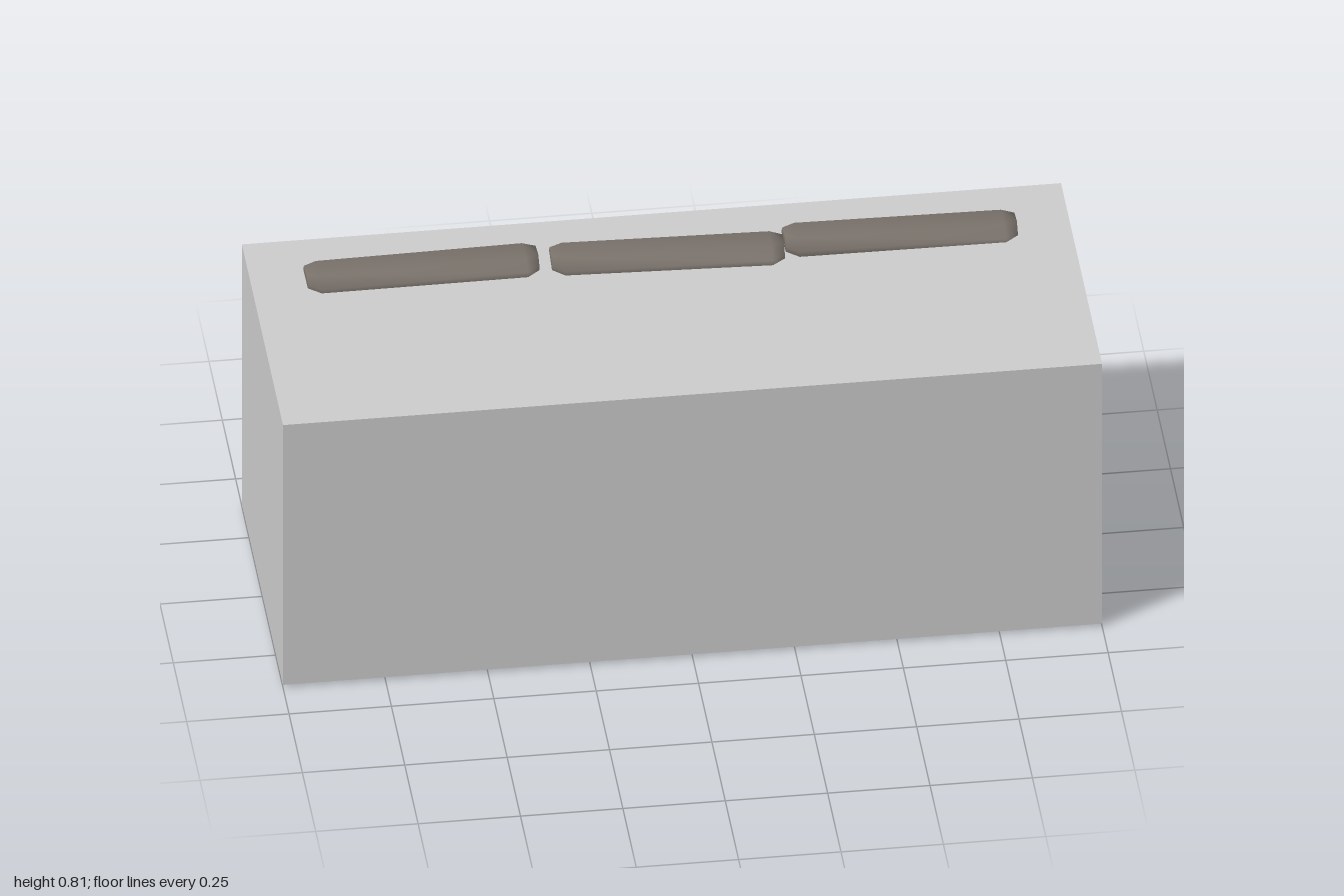
import * as THREE from 'three';
import { mergeVertices } from 'three/addons/utils/BufferGeometryUtils.js';

const grey = new THREE.MeshStandardMaterial({ color: 0xcccccc });
const dark = new THREE.MeshStandardMaterial({ color: 0x7a726b });

// Shares vertices so that normals blend over the bevels
function smooth(geometry) {
  geometry.deleteAttribute('normal');
  geometry.deleteAttribute('uv');
  const merged = mergeVertices(geometry, 1e-4);
  merged.computeVertexNormals();
  return merged;
}

// Thin bevelled panel in the xy plane, centred on the origin
function panelGeometry(width, height, thickness, bevel, corner) {
  const x = width / 2 - bevel, y = height / 2 - bevel, c = corner;
  const shape = new THREE.Shape([
    [x, c - y], [x, y - c], [x - c, y], [c - x, y],
    [-x, y - c], [-x, c - y], [c - x, -y], [x - c, -y],
  ].map(([px, py]) => new THREE.Vector2(px, py)));
  const geometry = new THREE.ExtrudeGeometry(shape, {
    depth: thickness - 2 * bevel, bevelThickness: bevel, bevelSize: bevel, bevelSegments: 1,
  });
  geometry.translate(0, 0, bevel - thickness / 2);
  return smooth(geometry);
}

// Chamfered bar along x, narrowed at both ends
function barGeometry() {
  const profile = [[0.068, -0.02], [0.068, 0.012], [0.036, 0.031], [-0.042, 0.022], [-0.07, 0], [-0.07, -0.02]];
  const sections = [[-0.283, 0.62], [-0.252, 1], [0.252, 1], [0.283, 0.62]];
  const n = profile.length, positions = [], index = [];
  for (const [x, s] of sections) for (const [z, y] of profile) positions.push(x, y, z * s);
  for (let i = 0; i < sections.length - 1; i++) {
    for (let j = 0; j < n; j++) {
      const a = i * n + j, b = i * n + (j + 1) % n;
      index.push(a, a + n, b, b, a + n, b + n);
    }
  }
  const last = (sections.length - 1) * n;
  for (let k = 1; k < n - 1; k++) {
    index.push(0, k, k + 1);
    index.push(last, last + k + 1, last + k);
  }
  const geometry = new THREE.BufferGeometry();
  geometry.setAttribute('position', new THREE.Float32BufferAttribute(positions, 3));
  geometry.setIndex(index);
  geometry.computeVertexNormals();
  return geometry;
}

export function createModel() {
  const model = new THREE.Group();
  const add = (name, geometry, material, x, y, z) => {
    const mesh = new THREE.Mesh(geometry, material);
    mesh.name = name;
    mesh.position.set(x, y, z);
    model.add(mesh);
    return mesh;
  };

  // Main block
  add('body', new THREE.BoxGeometry(2, 0.768, 0.769), grey, 0, 0.391, 0.002);

  // Base panel and lower back panel, both standing slightly proud
  const base = add('basePanel', panelGeometry(1.985, 0.762, 0.024, 0.009, 0.006), dark, 0, 0.012, 0.002);
  base.rotation.x = -Math.PI / 2;
  add('backPanel', panelGeometry(1.985, 0.54, 0.02, 0.006, 0.012), dark, 0, 0.28, -0.376);

  // Three loosely aligned bars along the back of the top
  const bar = barGeometry();
  const bars = [
    ['rightBar', -0.583, -0.222, 0.007, 0.009],
    ['middleBar', 0.015, -0.208, -0.043, 0.007],
    ['leftBar', 0.585, -0.222, -0.007, -0.009],
  ];
  for (const [name, x, z, yaw, roll] of bars) {
    add(name, bar, dark, x, 0.775, z).rotation.set(0, yaw, roll);
  }
  return model;
}
